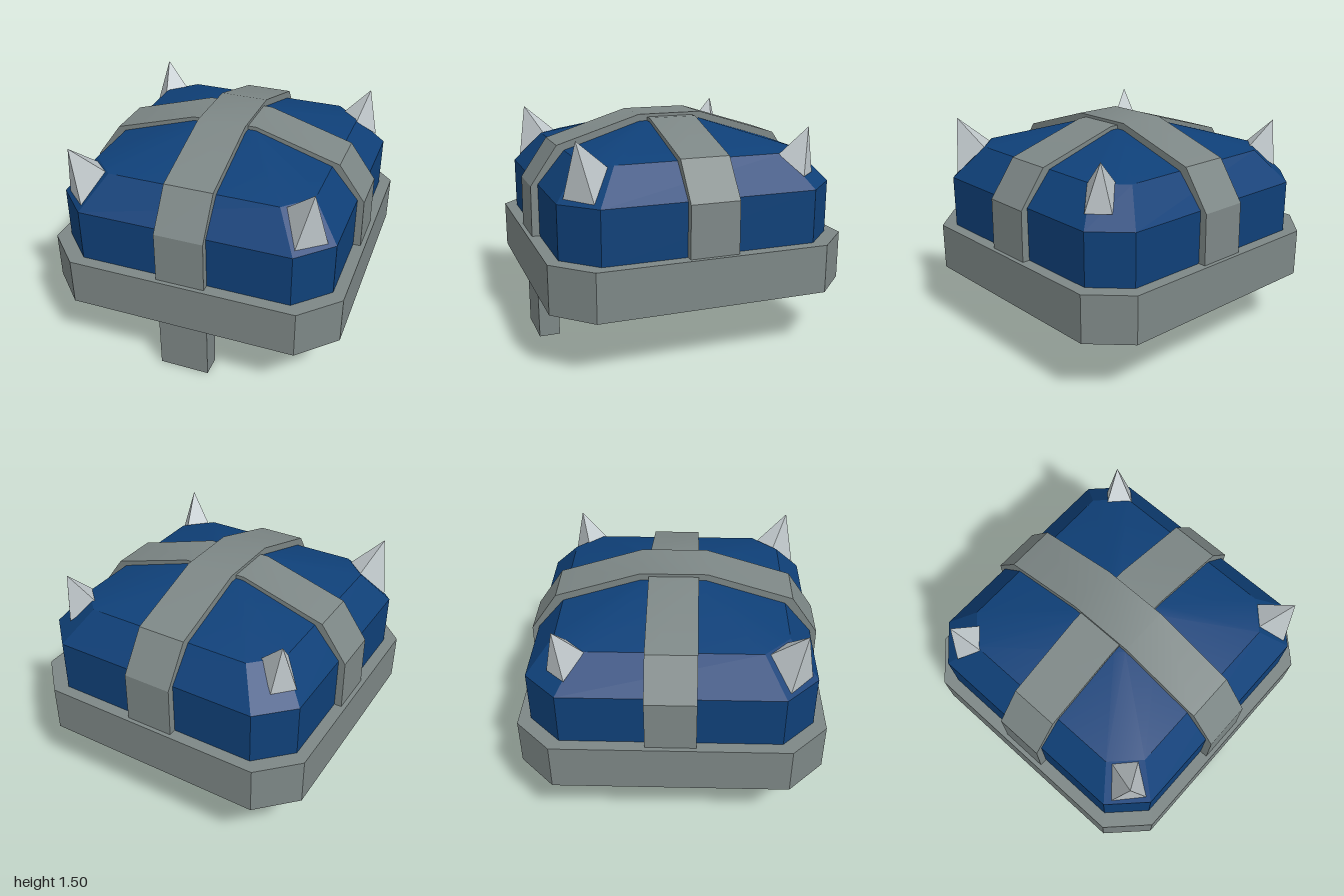
import * as THREE from 'three';
import { toCreasedNormals } from 'three/addons/utils/BufferGeometryUtils.js';
import { ConvexGeometry } from 'three/addons/geometries/ConvexGeometry.js';

const CREASE = 0.5;

// Stack of chamfered squares, each ring [half width, chamfer start, height], capped at both ends
function octagonLoft(rings) {
  const pos = [], idx = [];
  for (const [h, c, y] of rings) {
    for (const [x, z] of [[h, c], [c, h], [-c, h], [-h, c], [-h, -c], [-c, -h], [c, -h], [h, -c]]) pos.push(x, y, -z);
  }
  for (let r = 0; r < rings.length - 1; r++) {
    for (let i = 0; i < 8; i++) {
      const a = r * 8 + i, b = r * 8 + (i + 1) % 8;
      idx.push(a, b, b + 8, a, b + 8, a + 8);
    }
  }
  const top = (rings.length - 1) * 8;
  for (let i = 1; i < 7; i++) idx.push(0, i + 1, i, top, top + i, top + i + 1);
  const geo = new THREE.BufferGeometry();
  geo.setAttribute('position', new THREE.Float32BufferAttribute(pos, 3));
  geo.setIndex(idx);
  return toCreasedNormals(geo, CREASE);
}

// Band that follows the dome: mirrored outer and inner outlines, extruded to its width
function strapGeometry(outer, inner, halfWidth) {
  const mirror = (p) => [...p, ...p.slice().reverse().map(([x, y]) => [-x, y])];
  const points = [...mirror(outer), ...mirror(inner).reverse()].map(([x, y]) => new THREE.Vector2(x, y));
  const geo = new THREE.ExtrudeGeometry(new THREE.Shape(points), { depth: halfWidth * 2, bevelEnabled: false });
  geo.translate(0, 0, -halfWidth);
  return toCreasedNormals(geo, CREASE);
}

export function createModel() {
  const steel = new THREE.MeshStandardMaterial({ color: 0x7d8786 });
  steel.name = 'grey steel';
  const steelSheet = steel;
  steelSheet.side = THREE.DoubleSide;
  const blue = new THREE.MeshStandardMaterial({ color: 0x0f4078 });
  blue.name = 'blue';
  const bright = new THREE.MeshStandardMaterial({ color: 0xbfc7ca });
  bright.name = 'light metal';

  const model = new THREE.Group();
  model.name = 'helmet';
  const add = (name, geometry, material) => {
    const mesh = new THREE.Mesh(geometry, material);
    mesh.name = name;
    model.add(mesh);
    return mesh;
  };

  // Thick rim and domed shell
  add('rim', octagonLoft([[1, 0.765, 0.4], [1, 0.765, 0.72]]), steel);
  add('dome', octagonLoft([[0.92, 0.708, 0.71], [0.92, 0.708, 1.07], [0.738, 0.568, 1.285], [0.215, 0.165, 1.45]]), blue);

  // Crossed straps, the front-to-back one slightly higher
  const inner = [[0.91, 0.71], [0.91, 1.05], [0.73, 1.26], [0.21, 1.42]];
  add('sideStrap', strapGeometry([[0.97, 0.71], [0.965, 1.06], [0.787, 1.305], [0.22, 1.475]], inner, 0.163), steel);
  const longStrap = add('frontStrap', strapGeometry([[0.972, 0.71], [0.967, 1.06], [0.787, 1.32], [0.22, 1.495]], inner, 0.163), steel);
  longStrap.rotation.y = Math.PI / 2;

  // Nose guard, an open-backed channel under the front of the rim
  const guard = new THREE.BoxGeometry(0.336, 0.41, 0.14);
  guard.setIndex([...guard.index.array].slice(0, 30));
  guard.clearGroups();
  add('noseGuard', guard, steelSheet).position.set(0, 0.205, 0.88);

  // Four corner spikes, each a leaning pyramid: base corners, then tip
  const frontSpike = [[0.87, 1.09, 0.73], [0.705, 1.09, 0.88], [0.595, 1.27, 0.71], [0.72, 1.27, 0.6], [0.795, 1.457, 0.815]];
  const backSpike = [[0.866, 1.15, -0.65], [0.754, 1.15, -0.77], [0.615, 1.28, -0.65], [0.74, 1.28, -0.53], [0.79, 1.457, -0.71]];
  for (const [side, s] of [['left', 1], ['right', -1]]) {
    for (const [end, pts] of [['Front', frontSpike], ['Back', backSpike]]) {
      add(side + end + 'Spike', new ConvexGeometry(pts.map(([x, y, z]) => new THREE.Vector3(x * s, y, z))), bright);
    }
  }
  return model;
}
